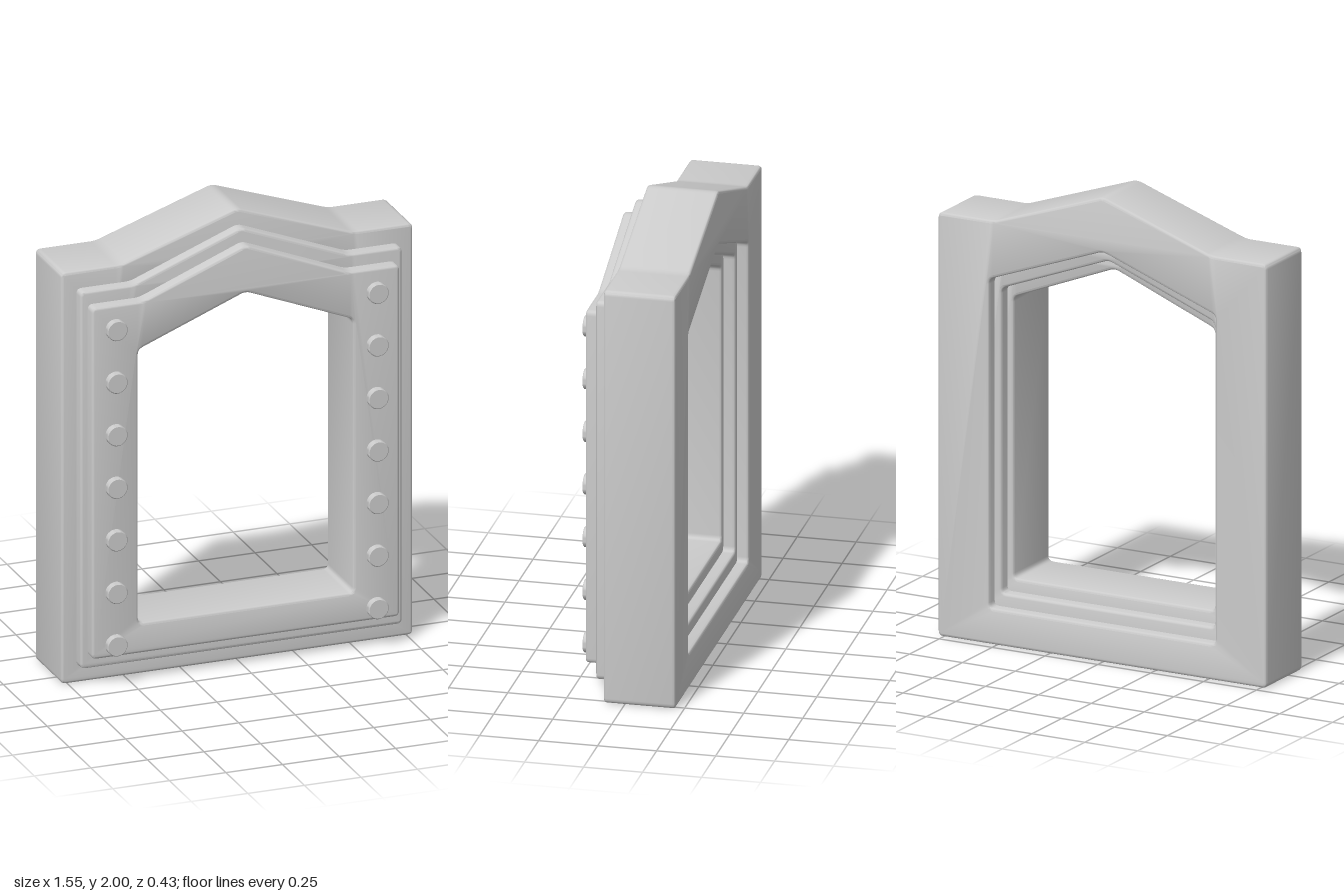
import * as THREE from 'three';
import { toCreasedNormals } from 'three/addons/utils/BufferGeometryUtils.js';

const material = new THREE.MeshStandardMaterial({ color: 0xcccccc });
const BEVEL = 0.012;
const DEPTH = 0.303;

// Traces a closed outline with every corner softened by radius r
function roundedOutline(path, points, r) {
  const n = points.length;
  points.forEach((p, i) => {
    const a = points[(i + n - 1) % n], b = points[(i + 1) % n];
    const start = p.clone().add(a.clone().sub(p).setLength(r));
    const end = p.clone().add(b.clone().sub(p).setLength(r));
    if (i === 0) path.moveTo(start.x, start.y);
    else path.lineTo(start.x, start.y);
    path.quadraticCurveTo(p.x, p.y, end.x, end.y);
  });
  path.closePath();
  return path;
}

// Completes a right-hand profile (bottom to top, ending at the peak) by mirroring it
function mirrored(half) {
  const right = half.map(([x, y]) => new THREE.Vector2(x, y));
  const left = right.filter(p => p.x > 0).reverse().map(p => new THREE.Vector2(-p.x, p.y));
  return [...right, ...left];
}

// One gabled ring with bevelled edges, its front face at z = front
function frameLayer(name, { outer, inner, front }) {
  const shape = roundedOutline(new THREE.Shape(), mirrored(outer), 0.022);
  shape.holes.push(roundedOutline(new THREE.Path(), mirrored(inner), 0.022));
  const geometry = new THREE.ExtrudeGeometry(shape, {
    depth: DEPTH - 2 * BEVEL, bevelEnabled: true, bevelThickness: BEVEL,
    bevelSize: BEVEL, bevelOffset: -BEVEL, bevelSegments: 3, curveSegments: 4,
  });
  geometry.translate(0, 0, front - DEPTH + BEVEL);
  const mesh = new THREE.Mesh(toCreasedNormals(geometry, 0.65), material);
  mesh.name = name;
  return mesh;
}

export function createModel() {
  const model = new THREE.Group();
  model.name = 'gabledFrame';

  // Three nested rings, each smaller and further forward
  model.add(
    frameLayer('backFrame', {
      outer: [[0.777, 0], [0.777, 1.823], [0.515, 1.823], [0, 2]],
      inner: [[0.535, 0.155], [0.535, 1.57], [0, 1.765]],
      front: 0.088,
    }),
    frameLayer('middleFrame', {
      outer: [[0.711, 0.075], [0.711, 1.747], [0.475, 1.747], [0, 1.932]],
      inner: [[0.503, 0.21], [0.503, 1.523], [0, 1.715]],
      front: 0.137,
    }),
    frameLayer('frontFrame', {
      outer: [[0.68, 0.132], [0.68, 1.69], [0.455, 1.69], [0, 1.873]],
      inner: [[0.475, 0.265], [0.475, 1.477], [0, 1.666]],
      front: 0.188,
    }),
  );

  // Seven round studs up each side post
  const profile = [[0.045, 0], [0.045, 0.041], [0.041, 0.045], [0, 0.045]]
    .map(([x, y]) => new THREE.Vector2(x, y));
  const studGeometry = toCreasedNormals(
    new THREE.LatheGeometry(profile, 32).rotateX(Math.PI / 2), 0.6);
  for (const [side, name] of [[1, 'leftStuds'], [-1, 'rightStuds']]) {
    const studs = new THREE.Group();
    studs.name = name;
    for (let i = 0; i < 7; i++) {
      const stud = new THREE.Mesh(studGeometry, material);
      stud.name = 'stud';
      stud.position.set(side * 0.577, 0.187 + i * 0.233, 0.17);
      studs.add(stud);
    }
    model.add(studs);
  }
  return model;
}
